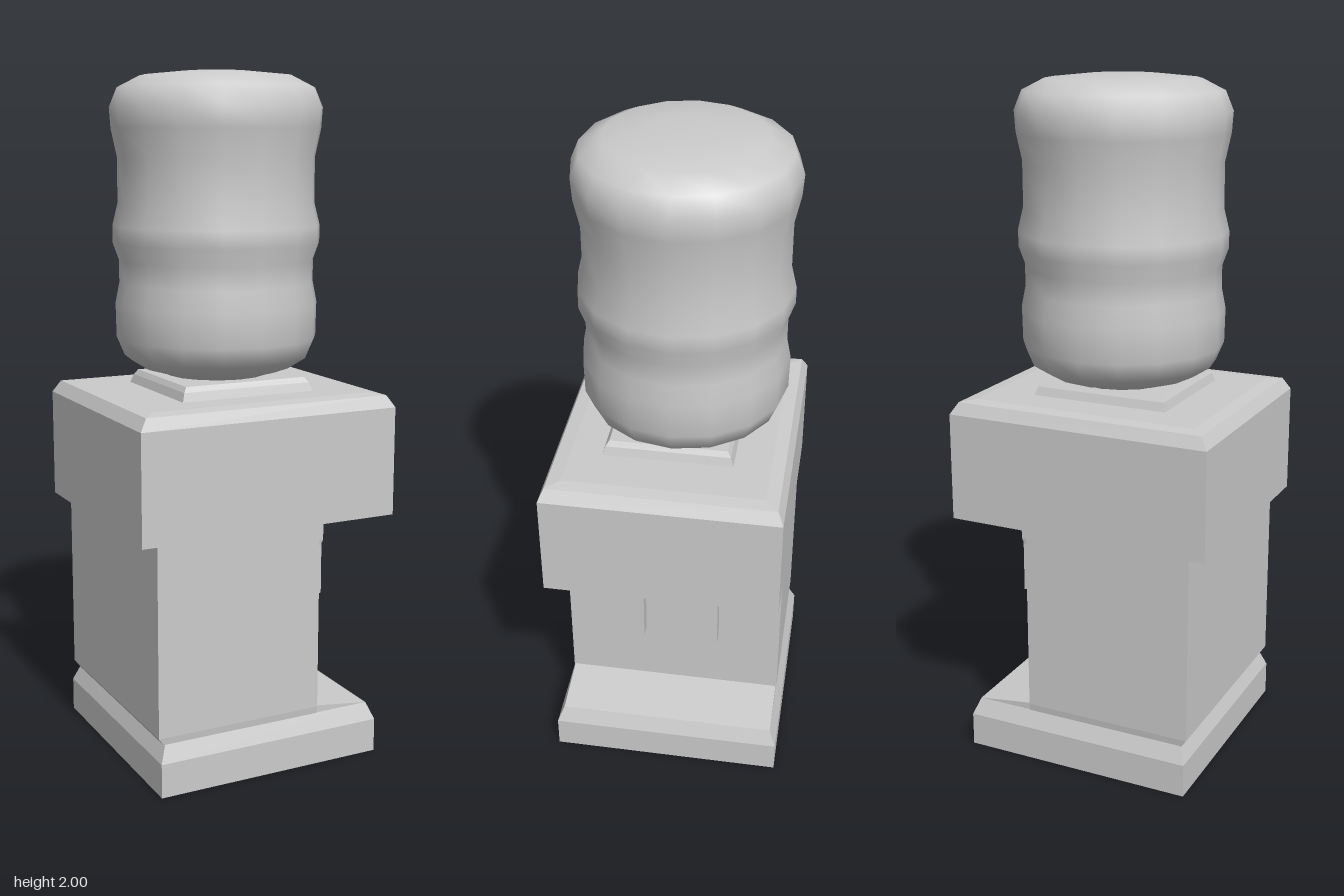
import * as THREE from 'three';

const grey = new THREE.MeshStandardMaterial({ color: 0xcccccc });
const faceted = new THREE.MeshStandardMaterial({ color: 0xcccccc, flatShading: true });

// Closed block from rectangular sections [y, x0, x1, z0, z1], listed bottom to top
function stack(sections) {
  const rings = sections.map(([y, x0, x1, z0, z1]) =>
    [[x0, y, z1], [x1, y, z1], [x1, y, z0], [x0, y, z0]]);
  const pos = [];
  const quad = (a, b, c, d) => [a, b, c, a, c, d].forEach((p) => pos.push(...p));
  for (let i = 0; i < rings.length - 1; i++) {
    const lo = rings[i], hi = rings[i + 1];
    for (let k = 0; k < 4; k++) {
      const n = (k + 1) % 4;
      quad(lo[k], lo[n], hi[n], hi[k]);
    }
  }
  quad(...[...rings[0]].reverse());
  quad(...rings[rings.length - 1]);
  const geo = new THREE.BufferGeometry();
  geo.setAttribute('position', new THREE.Float32BufferAttribute(pos, 3));
  geo.computeVertexNormals();
  return geo;
}

export function createModel() {
  const model = new THREE.Group();
  model.name = 'waterCooler';
  const add = (name, geo, material = faceted, parent = model) => {
    const mesh = new THREE.Mesh(geo, material);
    mesh.name = name;
    parent.add(mesh);
    return mesh;
  };

  // Plinth with a chamfered upper edge
  add('base', stack([
    [0, -0.35, 0.35, -0.35, 0.35],
    [0.1, -0.35, 0.35, -0.35, 0.35],
    [0.15, -0.33, 0.33, -0.33, 0.33],
  ]));

  // Drip tray sloping down away from the column
  const wedge = new THREE.Shape([
    new THREE.Vector2(-0.04, 0.145), new THREE.Vector2(0.33, 0.15),
    new THREE.Vector2(0.16, 0.172), new THREE.Vector2(-0.04, 0.172),
  ]);
  const tray = new THREE.ExtrudeGeometry(wedge, { depth: 0.66, bevelEnabled: false });
  add('dripTray', tray.translate(0, 0, -0.33));

  // Column, pinched in where it meets the plinth
  add('column', stack([
    [0.145, -0.332, 0.16, -0.33, 0.33],
    [0.17, -0.35, 0.16, -0.333, 0.333],
    [0.735, -0.35, 0.16, -0.333, 0.333],
  ]));

  // Overhanging head with a chamfered top
  add('head', stack([
    [0.73, -0.4, 0.4, -0.34, 0.346],
    [1.05, -0.4, 0.4, -0.34, 0.346],
    [1.085, -0.378, 0.378, -0.323, 0.33],
    [1.09, -0.34, 0.34, -0.285, 0.29],
  ]));

  // Square collar under the bottle
  add('collar', stack([
    [1.085, -0.21, 0.21, -0.18, 0.2],
    [1.115, -0.2, 0.2, -0.17, 0.19],
    [1.13, -0.19, 0.19, -0.16, 0.18],
  ]));

  // Two taps: a block reaching out of the column and a hanging spout
  for (const [side, z] of [['left', 0.115], ['right', -0.11]]) {
    const tap = new THREE.Group();
    tap.name = side + 'Tap';
    tap.position.z = z;
    model.add(tap);
    add('tapBody', stack([
      [0.6, 0.15, 0.27, -0.04, 0.04],
      [0.62, 0.15, 0.277, -0.043, 0.043],
      [0.7, 0.15, 0.277, -0.043, 0.043],
    ]), faceted, tap);
    add('spout', new THREE.BoxGeometry(0.04, 0.16, 0.08).translate(0.253, 0.53, 0), grey, tap);
  }

  // Ribbed bottle turned from a profile of radius and height
  const profile = [
    [0, 1.11], [0.13, 1.12], [0.16, 1.135], [0.22, 1.152], [0.272, 1.185], [0.295, 1.24],
    [0.297, 1.34], [0.285, 1.4], [0.285, 1.465], [0.303, 1.515], [0.303, 1.565], [0.287, 1.63],
    [0.287, 1.76], [0.304, 1.84], [0.308, 1.9], [0.285, 1.955], [0.22, 1.988], [0.1, 2], [0, 2],
  ].map(([r, y]) => new THREE.Vector2(r, y));
  add('bottle', new THREE.LatheGeometry(profile, 16), grey).position.z = -0.012;

  return model;
}
